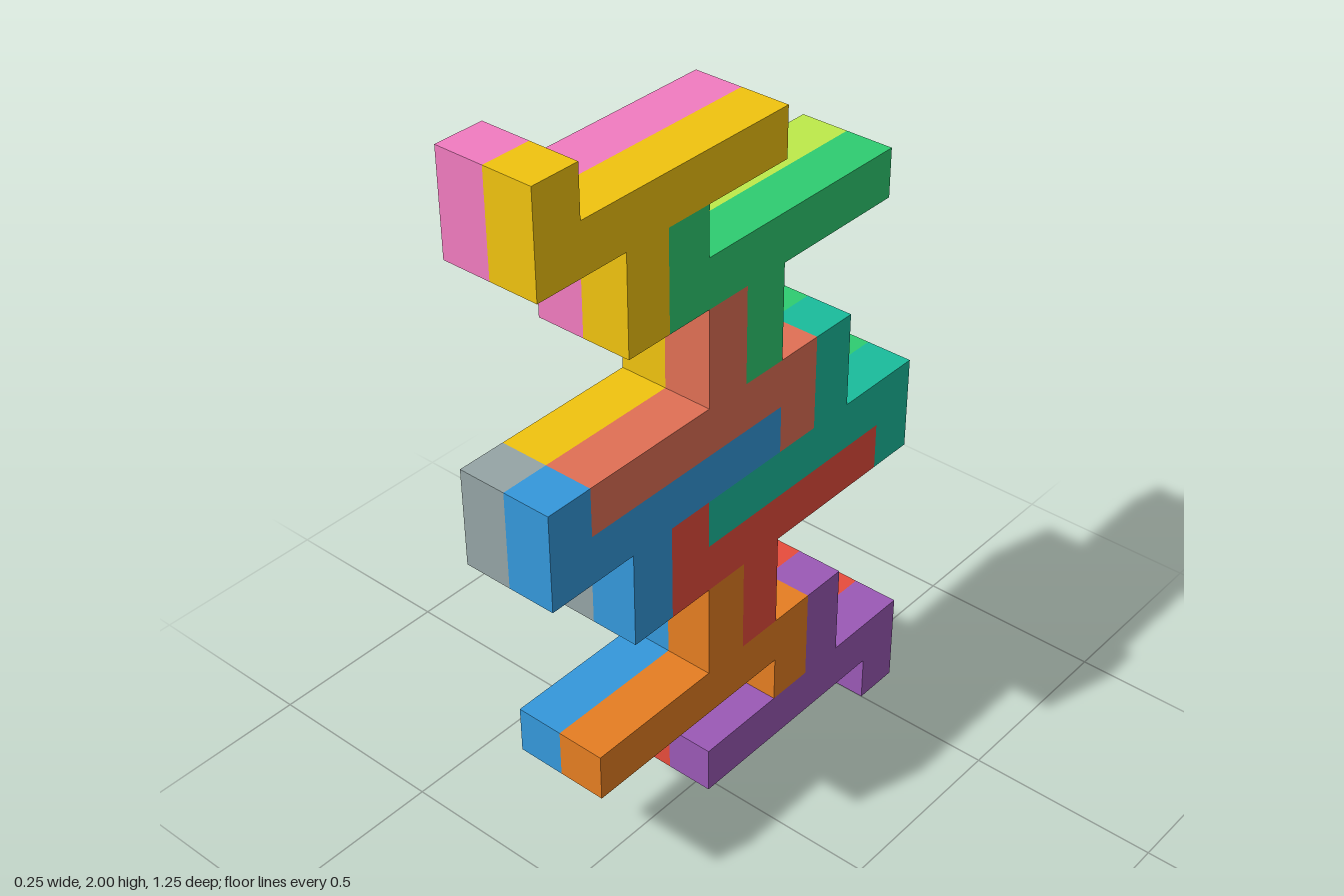
import * as THREE from 'three';

const CELL = 0.125;

// One nine-cell block: a six-cell bar, an upturned tip and a two-cell stem.
// Horizontal runs along z, measured from the tip end of the bar.
const OUTLINE = [
  [0, 0], [0, 2], [-1, 2], [-1, 1], [-6, 1],
  [-6, 0], [-3, 0], [-3, -2], [-2, -2], [-2, 0],
];

function blockGeometry() {
  const shape = new THREE.Shape(OUTLINE.map(([z, y]) => new THREE.Vector2(z * CELL, y * CELL)));
  const geometry = new THREE.ExtrudeGeometry(shape, { depth: CELL, bevelEnabled: false });
  geometry.rotateY(-Math.PI / 2); // outline into the z-y plane
  geometry.translate(CELL / 2, 0, 0); // centre the thickness on x
  return geometry;
}

// Tip corner (z, y in cells), half turn or not, colours of the left and right layers
const TIERS = [
  { z: -5, y: 2, turned: true, left: 0x9b59b6, right: 0xe74c3c },
  { z: -2, y: 4, turned: true, left: 0xe67e22, right: 0x3498db },
  { z: 2, y: 6, turned: false, left: 0xe74c3c, right: 0x34495e },
  { z: -5, y: 8, turned: true, left: 0x1abc9c, right: 0x2ecc71 },
  { z: 5, y: 8, turned: false, left: 0x3498db, right: 0x95a5a6 },
  { z: -2, y: 10, turned: true, left: 0xe17055, right: 0xf1c40f },
  { z: 2, y: 12, turned: false, left: 0x2ecc71, right: 0xbdea4a },
  { z: 5, y: 14, turned: false, left: 0xf1c40f, right: 0xf27cc0 },
];

export function createModel() {
  const model = new THREE.Group();
  model.name = 'blockTower';
  const geometry = blockGeometry();

  TIERS.forEach((tier, i) => {
    const group = new THREE.Group();
    group.name = `tier${i + 1}`;
    group.position.set(0, tier.y * CELL, tier.z * CELL);

    // Two blocks side by side form each tier
    for (const side of ['left', 'right']) {
      const material = new THREE.MeshStandardMaterial({ color: tier[side], flatShading: true });
      const block = new THREE.Mesh(geometry, material);
      block.name = `${side}Block`;
      block.position.x = (side === 'left' ? 1 : -1) * CELL / 2;
      if (tier.turned) block.rotation.x = Math.PI;
      group.add(block);
    }
    model.add(group);
  });
  return model;
}
